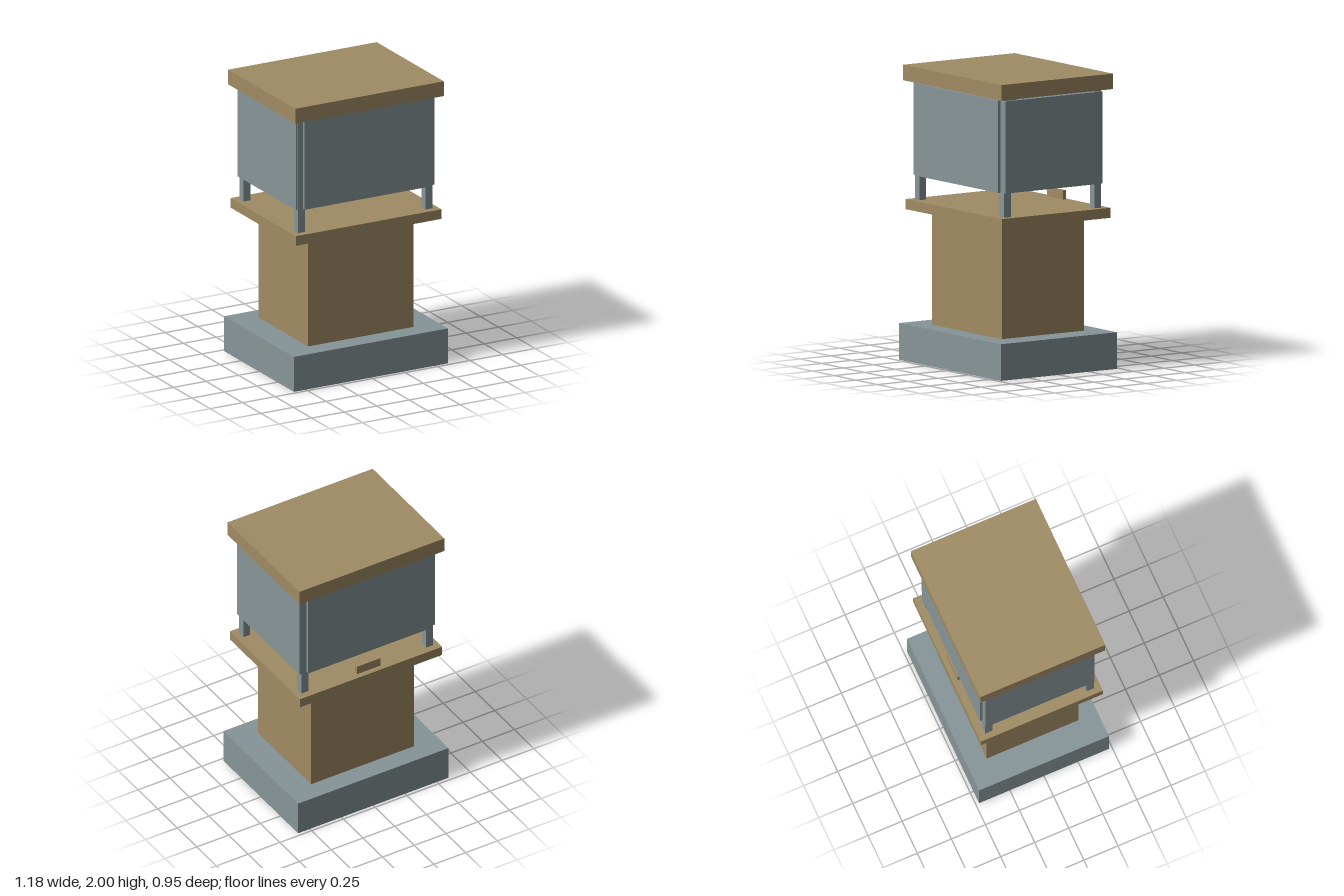
import * as THREE from 'three';

export function createModel() {
  const model = new THREE.Group();
  const tan = new THREE.MeshStandardMaterial({ color: 0xa08b64 });
  tan.name = 'tan';
  const grey = new THREE.MeshStandardMaterial({ color: 0x879598 });
  grey.name = 'blueGrey';

  // Box given by its centre in x and z, and its bottom and top heights
  function box(name, material, width, depth, bottom, top, x = 0, z = 0) {
    const mesh = new THREE.Mesh(new THREE.BoxGeometry(width, top - bottom, depth), material);
    mesh.name = name;
    mesh.position.set(x, (bottom + top) / 2, z);
    model.add(mesh);
  }

  // Plinth, pedestal, shelf and roof
  box('plinth', grey, 1.185, 0.953, 0, 0.248);
  box('pedestal', tan, 0.81, 0.674, 0.248, 1.022);
  box('shelf', tan, 1.12, 0.894, 1.022, 1.09);
  box('roof', tan, 1.142, 0.916, 1.895, 2);

  for (const side of [-1, 1]) {
    // Corner posts
    for (const end of [-1, 1]) {
      box('cornerPost', grey, 0.055, 0.055, 1.09, 1.895, side * 0.491, end * 0.371);
    }
    // Panels fixed to the outside of the posts
    box('sidePanel', grey, 0.016, 0.795, 1.255, 1.88, side * 0.5255, 0);
    box('endPanel', grey, 0.955, 0.02, 1.255, 1.88, 0, side * 0.4085);
  }

  // Small plaque on the back of the shelf
  box('plaque', tan, 0.187, 0.025, 1.094, 1.156, -0.003, -0.401);

  return model;
}
